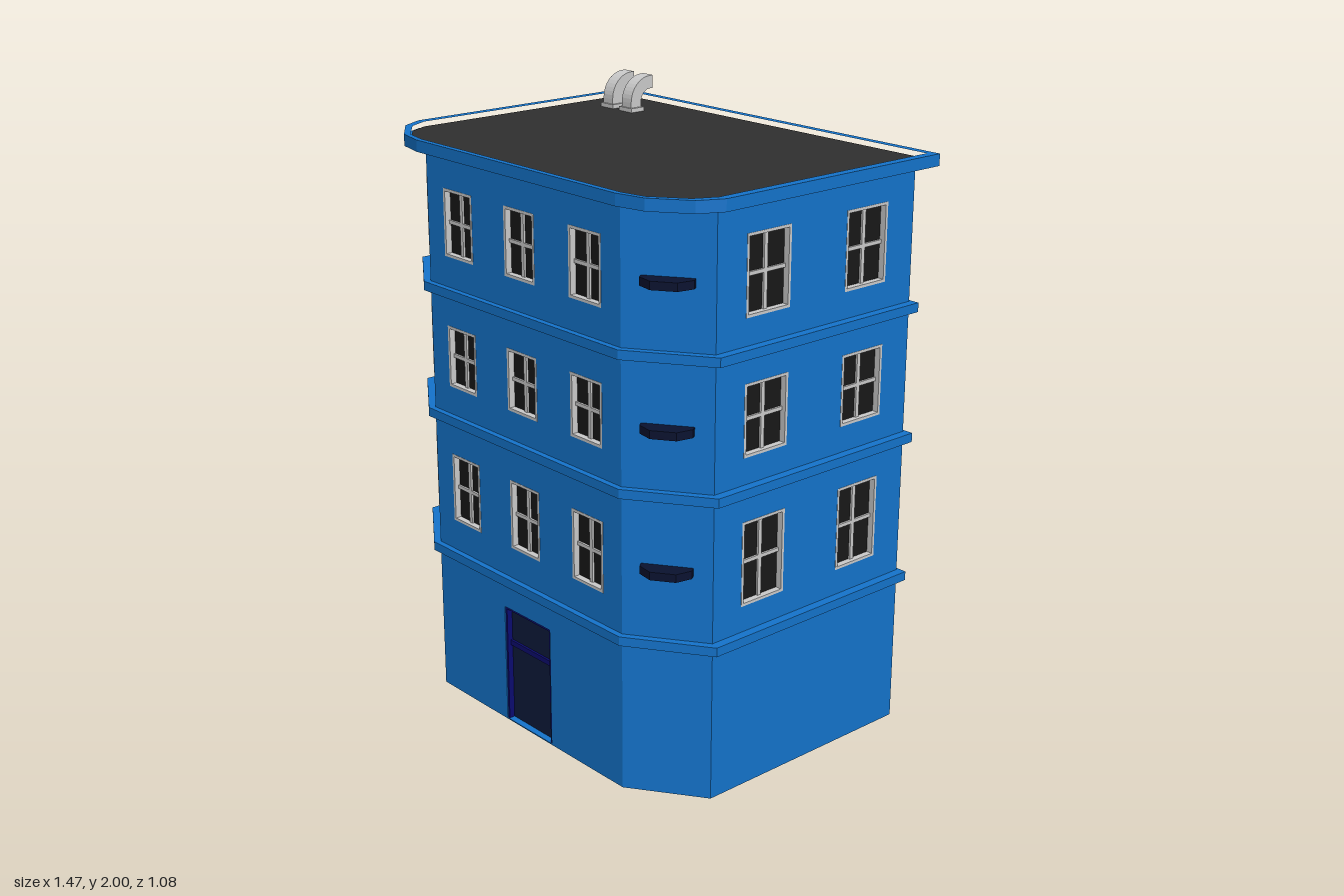
import * as THREE from 'three';

const mat = (color) => new THREE.MeshStandardMaterial({ color });

export function createModel() {
  const model = new THREE.Group();
  const blue = mat(0x1474cc), grey = mat(0xcccccc), glass = mat(0x181818), roofing = mat(0x303030);
  const doorNavy = mat(0x0d1a3c), trimNavy = mat(0x0b0b70), ledgeNavy = mat(0x0a1230);

  const add = (parent, name, geometry, material) => {
    const mesh = new THREE.Mesh(geometry, material);
    mesh.name = name;
    parent.add(mesh);
    return mesh;
  };
  const box = (parent, name, material, w, h, d, x, y, z) =>
    add(parent, name, new THREE.BoxGeometry(w, h, d), material).position.set(x, y, z);
  const toShape = (pts) => new THREE.Shape(pts.map(([x, z]) => new THREE.Vector2(x, -z)));
  // Horizontal slab from a plan outline of [x, z] points, optionally with a hole
  const slab = (pts, y0, y1, hole) => {
    const shape = toShape(pts);
    if (hole) shape.holes.push(toShape(hole));
    return new THREE.ExtrudeGeometry(shape, { depth: y1 - y0, bevelEnabled: false })
      .rotateX(-Math.PI / 2).translate(0, y0, 0);
  };
  // Full outline from its +x half, listed from back to front
  const mirrored = (half) => [...half, ...half.map(([x, z]) => [-x, z]).reverse()];

  const WALL_TOP = 1.865, DEPTH = 0.03;
  const footprint = mirrored([[0.7, -0.47], [0.7, 0.35], [0.47, 0.51]]);

  // Window with frame and cross bars, set back in its opening
  function addWindow(parent, { x, y0, y1, w }) {
    const g = new THREE.Group();
    g.name = 'window';
    g.position.set(x, (y0 + y1) / 2, 0);
    const h = y1 - y0, t = 0.009;
    box(g, 'windowPane', glass, w, h, 0.006, 0, 0, -0.023);
    for (const s of [-1, 1]) {
      box(g, 'windowFrameSide', grey, t, h, 0.024, s * (w - t) / 2, 0, -0.011);
      box(g, 'windowFrameRail', grey, w, t, 0.024, 0, s * (h - t) / 2, -0.011);
    }
    box(g, 'windowMullion', grey, 0.014, h, 0.008, 0, 0, -0.017);
    box(g, 'windowTransom', grey, w, 0.012, 0.008, 0, 0, -0.017);
    parent.add(g);
  }

  // Wall panel between two plan points, outer face at local z = 0
  function addWall(name, [ax, az], [bx, bz], windows = [], door) {
    const g = new THREE.Group();
    g.name = name;
    g.position.set(ax, 0, az);
    g.rotation.y = Math.atan2(az - bz, bx - ax);
    const len = Math.hypot(bx - ax, bz - az);
    const outline = [[0, 0]];
    if (door) {
      const l = door.x - door.w / 2, r = door.x + door.w / 2;
      outline.push([l, 0], [l, door.h], [r, door.h], [r, 0]);
    }
    outline.push([len, 0], [len, WALL_TOP], [0, WALL_TOP]);
    const shape = new THREE.Shape(outline.map((p) => new THREE.Vector2(...p)));
    for (const { x, y0, y1, w } of windows) {
      shape.holes.push(new THREE.Path([[x - w / 2, y0], [x - w / 2, y1], [x + w / 2, y1], [x + w / 2, y0]]
        .map((p) => new THREE.Vector2(...p))));
    }
    const geo = new THREE.ExtrudeGeometry(shape, { depth: DEPTH, bevelEnabled: false });
    add(g, name + 'Panel', geo.translate(0, 0, -DEPTH), blue);
    windows.forEach((o) => addWindow(g, o));
    model.add(g);
    return g;
  }

  // One column of windows per x position, one window per floor
  const frontFloors = [[0.635, 0.87], [1.105, 1.31], [1.54, 1.76]];
  const sideFloors = [[0.615, 0.89], [1.095, 1.325], [1.525, 1.775]];
  const columns = (xs, w, floors) => xs.flatMap((x) => floors.map(([y0, y1]) => ({ x, y0, y1, w })));

  const [backL, sideL, frontL, frontR, sideR, backR] = footprint;
  const sideWindows = columns([0.205, 0.615], 0.177, sideFloors);
  const door = { x: 0.468, w: 0.235, h: 0.412 };
  addWall('backWall', backL, backR);
  addWall('rightWall', backR, sideR, sideWindows);
  addWall('rightCornerWall', sideR, frontR, columns([0.14], 0.142, frontFloors));
  const front = addWall('frontWall', frontR, frontL, columns([0.16, 0.47, 0.78], 0.147, frontFloors), door);
  const leftCorner = addWall('leftCornerWall', frontL, sideL);
  addWall('leftWall', sideL, backL, sideWindows);
  add(model, 'groundSlab', slab(footprint, 0, 0.004), blue);

  // Entrance door, set back, with navy trim and a bar below the fanlight
  box(front, 'door', doorNavy, door.w, door.h, 0.008, door.x, door.h / 2, -0.027);
  for (const s of [-1, 1])
    box(front, 'doorJamb', trimNavy, 0.008, door.h, 0.022, door.x + s * (door.w / 2 - 0.004), door.h / 2, -0.014);
  box(front, 'doorHead', trimNavy, door.w, 0.008, 0.022, door.x, door.h - 0.004, -0.014);
  box(front, 'doorBar', trimNavy, door.w, 0.018, 0.01, door.x, 0.28, -0.02);

  // Small angled ledges on the left front corner
  const ledgePlan = [[0.06, -0.01], [0.06, 0.02], [0.1, 0.058], [0.18, 0.058], [0.22, 0.02], [0.22, -0.01]];
  for (const y of [0.745, 1.19, 1.635]) add(leftCorner, 'cornerLedge', slab(ledgePlan, y, y + 0.026), ledgeNavy);

  // String courses between the floors
  const bandPlan = mirrored([[0.73, -0.48], [0.73, 0.36], [0.48, 0.53]]);
  for (const y of [0.5, 0.98, 1.41]) add(model, 'stringCourse', slab(bandPlan, y, y + 0.03), blue);

  // Cornice with a raised rim around the sunken roof
  const outer = mirrored([[0.735, -0.54], [0.735, 0.35], [0.695, 0.43], [0.58, 0.515], [0.48, 0.537]]);
  const inner = mirrored([[0.705, -0.513], [0.705, 0.35], [0.67, 0.42], [0.565, 0.5], [0.48, 0.517]]);
  add(model, 'corniceBase', slab(outer, 1.862, 1.874), blue);
  add(model, 'corniceRim', slab(outer, 1.874, 1.9, inner), blue);
  add(model, 'roof', slab(inner, 1.872, 1.884), roofing);

  // Bent square vent pipes, opening towards the back
  const ventSide = new THREE.Shape();
  ventSide.moveTo(0.318, 1.88);
  ventSide.lineTo(0.318, 1.915);
  ventSide.absarc(0.403, 1.915, 0.085, Math.PI, Math.PI / 2, true);
  ventSide.lineTo(0.415, 2);
  ventSide.lineTo(0.415, 1.956);
  ventSide.lineTo(0.403, 1.956);
  ventSide.absarc(0.403, 1.915, 0.041, Math.PI / 2, Math.PI, false);
  ventSide.lineTo(0.362, 1.88);
  const ventGeo = new THREE.ExtrudeGeometry(ventSide, { depth: 0.048, bevelEnabled: false, curveSegments: 5 })
    .translate(0, 0, -0.024).rotateY(Math.PI / 2);
  for (const x of [-0.562, -0.465]) {
    const vent = new THREE.Group();
    vent.name = 'roofVent';
    vent.position.x = x;
    add(vent, 'ventPipe', ventGeo, grey);
    box(vent, 'ventCollar', grey, 0.065, 0.016, 0.056, 0, 1.89, -0.34);
    box(vent, 'ventOpening', glass, 0.034, 0.03, 0.002, 0, 1.978, -0.415);
    model.add(vent);
  }
  return model;
}
